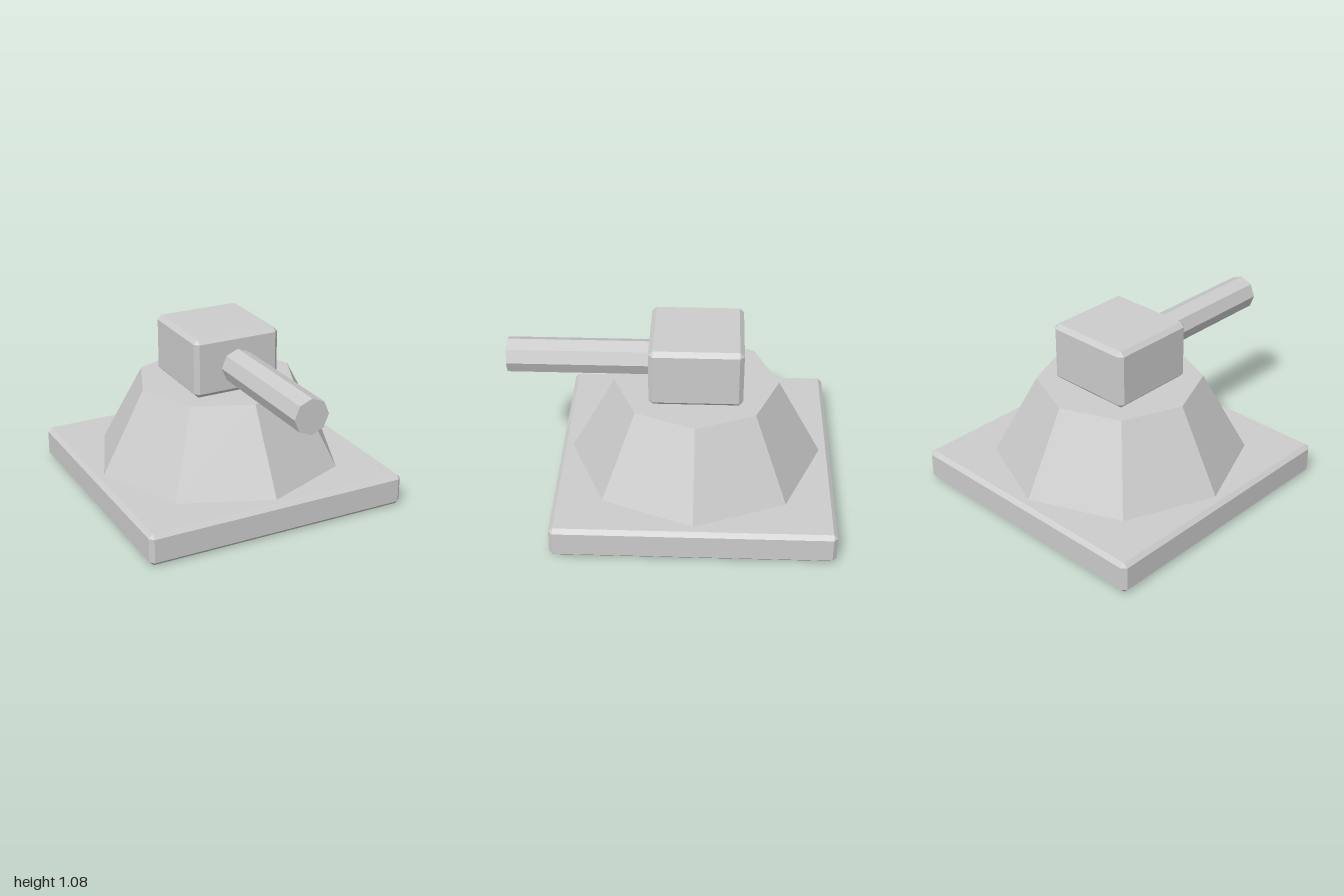
import * as THREE from 'three';
import { ConvexGeometry } from 'three/addons/geometries/ConvexGeometry.js';

const CENTER_Z = -0.15; // shared axis of base, pedestal and housing
const material = new THREE.MeshStandardMaterial({ color: 0xcccccc, flatShading: true });

// Box with flat 45-degree chamfers on every edge
function chamferedBox(width, height, depth, chamfer) {
  const half = [width / 2, height / 2, depth / 2];
  const points = [];
  for (const sx of [-1, 1]) for (const sy of [-1, 1]) for (const sz of [-1, 1]) {
    for (let axis = 0; axis < 3; axis++) {
      // Each corner splits into three points, one per adjoining face
      const p = half.map((h, i) => (i === axis ? h : h - chamfer));
      points.push(new THREE.Vector3(sx * p[0], sy * p[1], sz * p[2]));
    }
  }
  return new ConvexGeometry(points);
}

export function createModel() {
  const model = new THREE.Group();
  model.name = 'turret';

  function addPart(name, geometry, y, z) {
    const mesh = new THREE.Mesh(geometry, material);
    mesh.name = name;
    mesh.position.set(0, y, z);
    model.add(mesh);
  }

  // Square base slab
  addPart('base', chamferedBox(1.7, 0.2, 1.7, 0.025), 0.1, CENTER_Z);

  // Tapered octagonal pedestal
  addPart('pedestal', new THREE.CylinderGeometry(0.508, 0.782, 0.51, 8), 0.455, CENTER_Z);

  // Gun housing
  addPart('housing', chamferedBox(0.566, 0.37, 0.566, 0.027), 0.895, CENTER_Z);

  // Octagonal barrel pointing forward out of the housing
  const barrelStart = 0.1, barrelEnd = 1;
  const barrel = new THREE.CylinderGeometry(0.109, 0.109, barrelEnd - barrelStart, 8);
  barrel.rotateX(Math.PI / 2);
  addPart('barrel', barrel, 0.88, (barrelStart + barrelEnd) / 2);

  return model;
}
